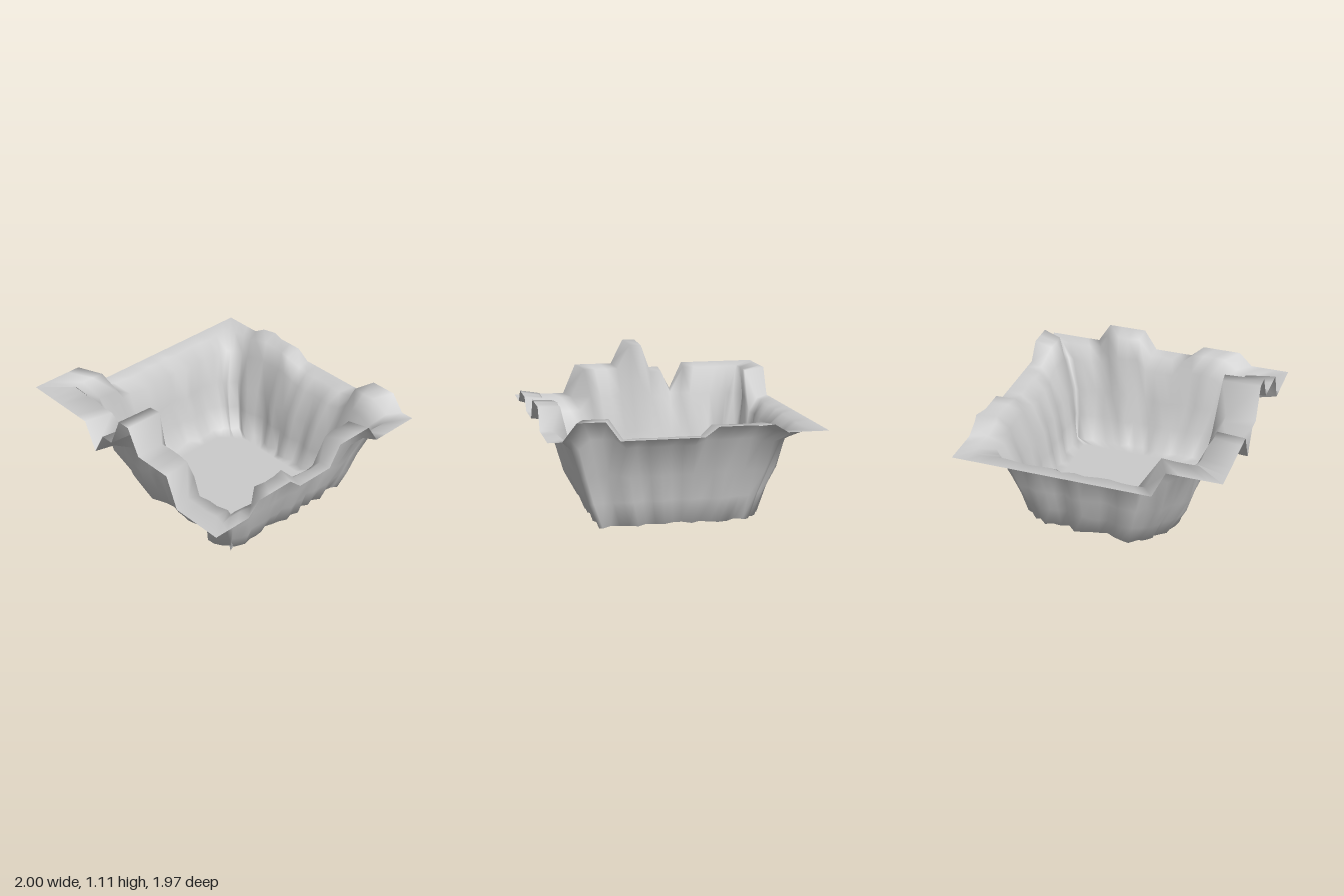
import * as THREE from 'three';

const STEPS = 20; // rim points per side

// Rim heights along each side as [position, height]
const RIM = {
  front: [[-1, 0.69], [-0.7, 0.69], [-0.6, 0.79], [-0.3, 0.79], [-0.2, 0.7], [0.1, 0.7], [0.2, 0.855], [0.5, 0.855], [0.6, 0.7], [1, 0.7]],
  right: [[-1, 0.7], [-0.7, 0.7], [-0.6, 0.76], [-0.2, 0.76], [-0.1, 0.69], [0.5, 0.69], [0.6, 0.825], [0.8, 0.825], [0.9, 0.7], [1, 0.7]],
  back: [[-1, 0.91], [-0.6, 0.91], [-0.5, 0.7], [1, 0.7]],
  left: [[-1, 0.91], [-0.4, 0.91], [-0.3, 0.7], [-0.2, 0.88], [-0.1, 0.88], [0, 1.11], [0.1, 1.11], [0.2, 0.92], [0.5, 0.92], [0.6, 0.69], [1, 0.69]],
};

// Loops from rim to floor: extents, height, share of rim bumps kept,
// share of the corner cuts, roughness, inset under raised rim parts
const LOOPS = [
  { x: [-1, 0.97], z: [-0.985, 0.98], y: 0.7, bump: 1, cut: 0, rough: 0, inset: 0 },
  { x: [-0.87, 0.88], z: [-0.9, 0.9], y: 0.69, bump: 1, cut: 0.1, rough: 0.05, inset: 0.36 },
  { x: [-0.72, 0.8], z: [-0.81, 0.82], y: 0.6, bump: 0.5, cut: 0.5, rough: 0.08, inset: 0 },
  { x: [-0.67, 0.72], z: [-0.77, 0.75], y: 0.37, bump: 0.15, cut: 0.7, rough: 0.09, inset: 0 },
  { x: [-0.6, 0.69], z: [-0.72, 0.69], y: 0.18, bump: 0, cut: 0.9, rough: 0.11, inset: 0 },
  { x: [-0.53, 0.67], z: [-0.67, 0.62], y: 0, bump: 0, cut: 1, rough: 0.16, inset: 0 },
  { x: [-0.4, 0.54], z: [-0.53, 0.48], y: 0, bump: 0, cut: 1, rough: 0, inset: 0 },
];

function heightAt(profile, t) {
  for (let i = 1; i < profile.length; i++) {
    const [a, ya] = profile[i - 1], [b, yb] = profile[i];
    if (t <= b + 1e-6) return ya + (yb - ya) * (t - a) / (b - a);
  }
  return profile[profile.length - 1][1];
}

function seededRandom(seed) {
  return () => {
    seed = (seed * 16807) % 2147483647;
    return seed / 2147483647;
  };
}

// How far each corner is bevelled
function cornerCut(u, v) {
  if (v > 0) return u < 0 ? 0.15 : 0.05;
  return u < 0 ? 0.42 : 0.32;
}

// Points around the square, counterclockwise seen from above
function perimeter() {
  const points = [];
  for (const side of ['front', 'right', 'back', 'left']) {
    for (let k = 0; k < STEPS; k++) {
      const t = -1 + 2 * k / STEPS;
      const [u, v] = { front: [t, 1], right: [1, -t], back: [-t, -1], left: [-1, t] }[side];
      const along = side === 'front' || side === 'back' ? u : v;
      points.push({ u, v, h: heightAt(RIM[side], along) });
    }
  }
  return points;
}

function basinGeometry() {
  const random = seededRandom(4217);
  const points = perimeter();
  const n = points.length;
  const positions = [], index = [];
  // vertical gullies shared by all wall loops
  const gully = points.map(() => random());

  LOOPS.forEach((loop, level) => {
    const cx = (loop.x[0] + loop.x[1]) / 2, rx = (loop.x[1] - loop.x[0]) / 2;
    const cz = (loop.z[0] + loop.z[1]) / 2, rz = (loop.z[1] - loop.z[0]) / 2;
    points.forEach(({ u, v, h }, i) => {
      const au = Math.abs(u), av = Math.abs(v);
      const bevel = Math.min(1, (2 - cornerCut(u, v) * loop.cut) / (au + av));
      // move inwards, square to the side
      const isCorner = au > 0.99 && av > 0.99;
      const rough = loop.rough * (0.65 * gully[i] + 0.35 * random()) * (isCorner ? 0.5 : 1);
      const inward = 1 - rough - loop.inset * (h - 0.7);
      const pu = u * bevel * (au >= av ? inward : 1);
      const pv = v * bevel * (av >= au ? inward : 1);
      // small outward point on one side of the rim
      const tip = level === 0 && u === 1 && Math.abs(v + 0.5) < 0.01 ? 0.03 : 0;
      positions.push(cx + rx * pu + tip, loop.y + loop.bump * (h - 0.7), cz + rz * pv);
    });
    if (level === 0) return;
    for (let i = 0; i < n; i++) {
      const j = (i + 1) % n, a = (level - 1) * n, b = level * n;
      index.push(a + i, a + j, b + i, a + j, b + j, b + i);
    }
  });

  // flat floor closed by a fan
  const last = (LOOPS.length - 1) * n;
  const centre = positions.length / 3;
  positions.push(0.06, 0, -0.02);
  for (let i = 0; i < n; i++) index.push(last + i, last + (i + 1) % n, centre);

  const geometry = new THREE.BufferGeometry();
  geometry.setAttribute('position', new THREE.Float32BufferAttribute(positions, 3));
  geometry.setIndex(index);
  geometry.computeVertexNormals();
  return geometry;
}

export function createModel() {
  const group = new THREE.Group();
  group.name = 'craterTerrain';
  const material = new THREE.MeshStandardMaterial({ color: 0xcccccc, side: THREE.DoubleSide });
  const basin = new THREE.Mesh(basinGeometry(), material);
  basin.name = 'craterBasin';
  group.add(basin);
  return group;
}
